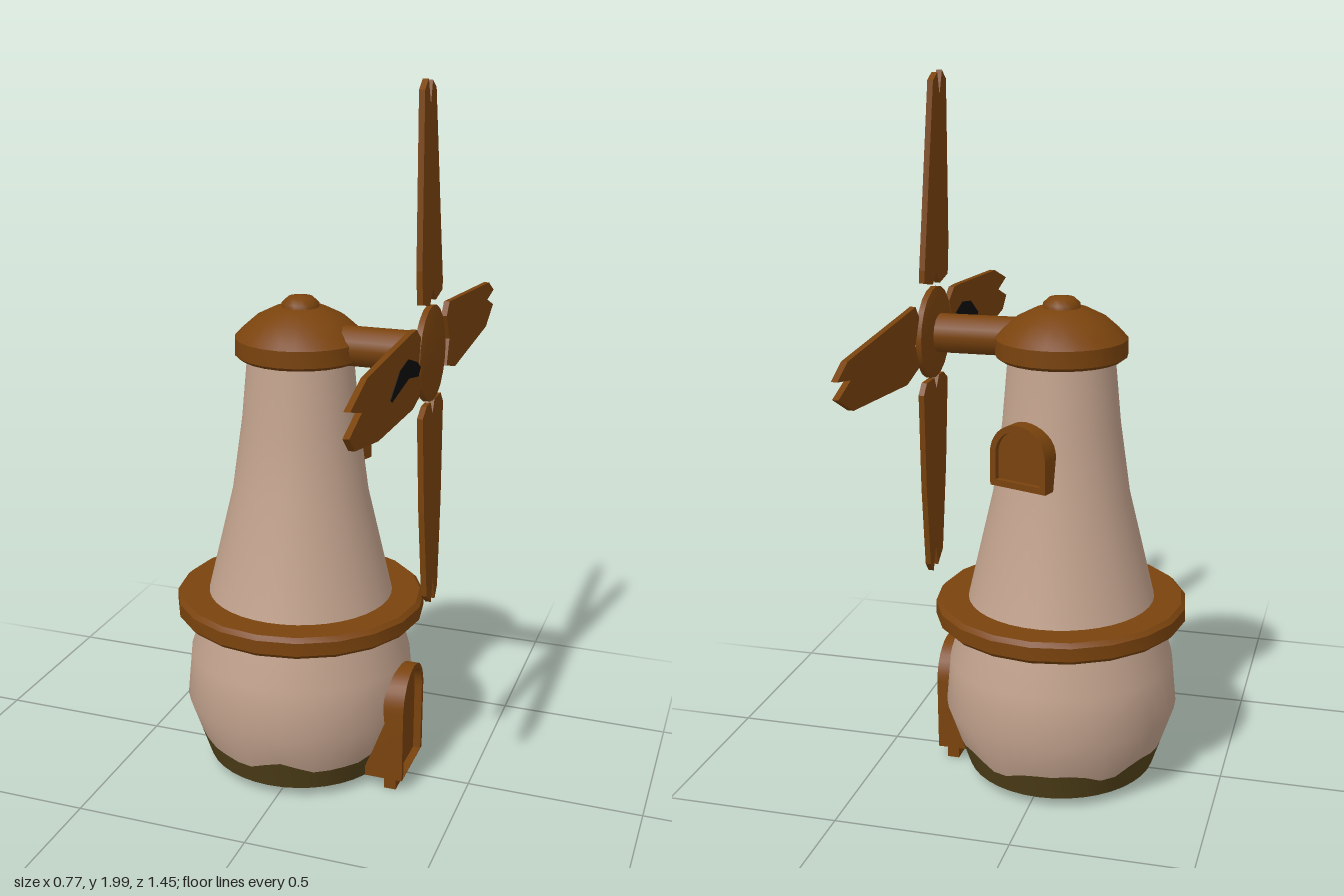
import * as THREE from 'three';
import { toCreasedNormals } from 'three/addons/utils/BufferGeometryUtils.js';

const material = (name, color) => {
  const m = new THREE.MeshStandardMaterial({ color });
  m.name = name;
  return m;
};
const v2 = (pts) => pts.map(([x, y]) => new THREE.Vector2(x, y));

export function createModel() {
  const wood = material('brown wood', 0x7a430d);
  const plaster = material('beige plaster', 0xc2a28d);
  const moss = material('olive moss', 0x54431a);
  const dark = material('black crack', 0x0c0c0c);
  const model = new THREE.Group();
  model.name = 'windmill';

  const add = (parent, name, geo, mat, x = 0, y = 0, z = 0) => {
    const mesh = new THREE.Mesh(geo, mat);
    mesh.name = name;
    mesh.position.set(x, y, z);
    parent.add(mesh);
    return mesh;
  };
  const lathe = (pts, sides) => new THREE.LatheGeometry(v2(pts), sides);
  const plate = (shape, depth) => new THREE.ExtrudeGeometry(shape, { depth, bevelEnabled: false, curveSegments: 8 });

  const tower = new THREE.Group();
  tower.name = 'tower';
  tower.position.set(-0.026, 0, -0.021);
  model.add(tower);

  // Wall and mossy foot meet along a wavy line on the same cone
  const footRadius = (y) => 0.272 + (y - 0.035) * 0.34;
  const waveEdge = (geo) => {
    const p = geo.attributes.position;
    for (let i = 0; i < p.count; i++) {
      if (Math.abs(p.getY(i) - 0.1) > 1e-4) continue;
      const a = Math.atan2(p.getX(i), p.getZ(i));
      const y = 0.107 + 0.014 * Math.sin(a * 6 + 0.6) + 0.007 * Math.sin(a * 11);
      const k = footRadius(y) / footRadius(0.1);
      p.setXYZ(i, p.getX(i) * k, y, p.getZ(i) * k);
    }
    return geo;
  };
  add(tower, 'wall', waveEdge(lathe([
    [footRadius(0.1), 0.1], [0.335, 0.22], [0.322, 0.36], [0.272, 0.52],
    [0.194, 0.85], [0.165, 1.06], [0.148, 1.25],
  ], 40)), plaster);
  add(tower, 'mossyFoot', toCreasedNormals(waveEdge(lathe([
    [0, 0.035], [0.272, 0.035], [footRadius(0.1), 0.1],
  ], 40)), 0.6), moss);

  // Balcony ring
  add(tower, 'balconyRing', toCreasedNormals(lathe([
    [0.25, 0.48], [0.348, 0.48], [0.36, 0.492], [0.36, 0.53], [0.348, 0.542], [0.25, 0.542],
  ], 20), 0.6), wood);

  // Domed cap with a knob
  add(tower, 'cap', toCreasedNormals(lathe([
    [0, 1.238], [0.17, 1.238], [0.183, 1.248], [0.183, 1.295], [0.165, 1.315],
    [0.125, 1.35], [0.075, 1.375], [0, 1.388],
  ], 24), 0.7), wood);
  add(tower, 'knob', lathe([[0.052, 1.37], [0.052, 1.39], [0.035, 1.406], [0, 1.412]], 16), wood);

  // Sail shaft
  const shaft = add(model, 'shaft', new THREE.CylinderGeometry(0.055, 0.055, 0.27, 14), wood, 0.215, 1.285, 0);
  shaft.rotation.z = Math.PI / 2;

  // Rotor: drawn in a flat plane, turned to face +x and leaning back a little
  const rotor = new THREE.Group();
  rotor.name = 'rotor';
  rotor.position.set(0.352, 1.285, 0.005);
  rotor.rotation.z = 0.028;
  model.add(rotor);
  const hub = add(rotor, 'hub', toCreasedNormals(lathe([
    [0, -0.022], [0.1, -0.018], [0.13, -0.008], [0.13, 0.008], [0.1, 0.016], [0, 0.022],
  ], 20), 0.5), wood);
  hub.rotation.z = -Math.PI / 2;

  const sails = {
    upperSail: [[-.1, .15], [-.03, .135], [0, .175], [.03, .14], [.1, .155], [.1, .19], [.035, .69],
      [0, .71], [-.02, .65], [-.04, .715], [-.075, .69], [-.105, .24]],
    lowerSail: [[-.105, -.155], [-.065, -.13], [-.025, -.13], [-.005, -.165], [.015, -.13], [.08, -.13],
      [.105, -.16], [.08, -.44], [.042, -.685], [.015, -.715], [-.005, -.645], [-.025, -.71], [-.07, -.675], [-.095, -.42]],
    frontSail: [[-.12, .07], [-.16, .1], [-.21, .1], [-.58, .08], [-.71, .035], [-.625, .01], [-.72, -.025],
      [-.68, -.065], [-.5, -.095], [-.2, -.1], [-.14, -.085], [-.12, -.05], [-.145, -.005]],
    backSail: [[.145, .07], [.175, .105], [.23, .1], [.66, .065], [.725, .03], [.64, .015], [.72, -.015],
      [.625, -.065], [.24, -.095], [.145, -.07], [.175, 0]],
  };
  for (const [name, pts] of Object.entries(sails)) {
    const sail = add(rotor, name, plate(new THREE.Shape(v2(pts)), 0.016), wood, -0.008);
    sail.rotation.y = Math.PI / 2;
  }
  // Dark crack showing on both faces of the front sail
  const crack = new THREE.Shape(v2([[-.4, -.02], [-.32, .03], [-.24, .042], [-.16, .015],
    [-.13, -.005], [-.15, -.025], [-.24, -.008], [-.39, -.03]]));
  for (const x of [-0.01, 0.007]) {
    add(rotor, 'sailCrack', plate(crack, 0.003), dark, x).rotation.y = Math.PI / 2;
  }

  // Arched opening: frame with a hole, and a panel set back inside it
  const arch = (w, y0, y1, Type = THREE.Shape) => {
    const s = new Type();
    s.moveTo(-w, y0);
    s.lineTo(w, y0);
    s.lineTo(w, y1 - w);
    s.absarc(0, y1 - w, w, 0, Math.PI, false);
    s.closePath();
    return s;
  };
  const opening = (name, w, y0, y1, rim, depth, panelDrop, recess) => {
    const g = new THREE.Group();
    g.name = name;
    const s = arch(w, y0, y1);
    s.holes.push(arch(w - rim, y0 + (panelDrop ? 0.002 : rim), y1 - rim, THREE.Path));
    add(g, name + 'Frame', toCreasedNormals(plate(s, depth), 0.6), wood, 0, 0, -depth);
    add(g, name + 'Panel', toCreasedNormals(plate(arch(w - rim, y0 - panelDrop, y1 - rim), 0.035), 0.6),
      wood, 0, 0, -recess - 0.035);
    model.add(g);
    return g;
  };
  const door = opening('door', 0.107, 0.045, 0.36, 0.016, 0.11, 0.04, 0.022);
  door.position.set(0.332, 0, 0.012);
  door.rotation.y = Math.PI / 2;

  const win = opening('window', 0.09, 0.91, 1.09, 0.018, 0.085, 0, 0.015);
  win.position.set(0.05, 0, -0.212);
  win.rotation.y = Math.atan2(0.33, -0.945);

  return model;
}
